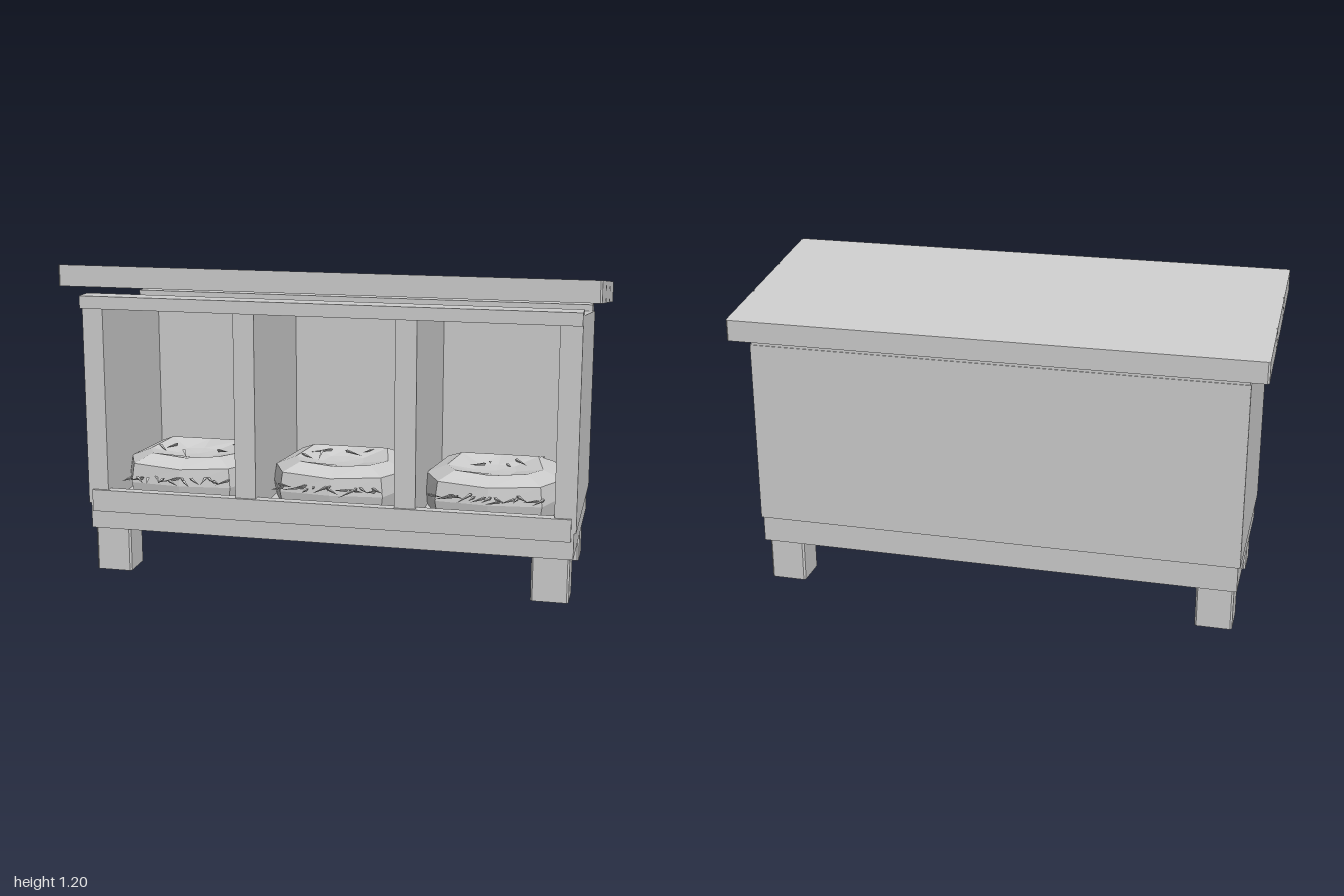
import * as THREE from 'three';

const timber = new THREE.MeshStandardMaterial({ color: 0xcccccc });
timber.name = 'pale grey';
timber.flatShading = true;
timber.side = THREE.DoubleSide;

function add(parent, name, geometry) {
  const mesh = new THREE.Mesh(geometry, timber);
  mesh.name = name;
  parent.add(mesh);
  return mesh;
}

// Box given by its limits on each axis
function box(parent, name, x0, x1, y0, y1, z0, z1) {
  const g = new THREE.BoxGeometry(x1 - x0, y1 - y0, z1 - z0);
  g.translate((x0 + x1) / 2, (y0 + y1) / 2, (z0 + z1) / 2);
  return add(parent, name, g);
}

// Upright block with chamfered vertical corners, standing on y = 0
function chamferedBlock(x0, x1, z0, z1, height, c) {
  const s = new THREE.Shape([
    [x0 + c, -z1], [x1 - c, -z1], [x1, -z1 + c], [x1, -z0 - c],
    [x1 - c, -z0], [x0 + c, -z0], [x0, -z0 - c], [x0, -z1 + c],
  ].map(([x, y]) => new THREE.Vector2(x, y)));
  const g = new THREE.ExtrudeGeometry(s, { depth: height, bevelEnabled: false });
  return g.rotateX(-Math.PI / 2);
}

// Wall panel in the z-y plane with a sloping top edge
function slopedWall(parent, name, x0, x1) {
  const s = new THREE.Shape([
    [-0.34, 0.27], [0.34, 0.27], [0.34, 1.066], [-0.34, 0.98],
  ].map(([z, y]) => new THREE.Vector2(-z, y)).reverse());
  const g = new THREE.ExtrudeGeometry(s, { depth: x1 - x0, bevelEnabled: false });
  g.rotateY(Math.PI / 2).translate(x0, 0, 0);
  add(parent, name, g);
}

function seeded(seed) {
  return () => {
    seed = (seed * 16807) % 2147483647;
    return seed / 2147483647;
  };
}

// Faceted straw bed: stacked eight-sided rings with a shallow hollow on top
function strawBed() {
  const plan = [[0, 0.25], [0.2, 0.23], [0.27, 0.06], [0.22, -0.18],
    [0, -0.24], [-0.22, -0.18], [-0.27, 0.06], [-0.2, 0.23]];
  const rings = [[0.96, 0.27], [1, 0.33], [0.96, 0.4], [0.68, 0.43], [0.3, 0.405]];
  const pos = [];
  const idx = [];
  rings.forEach(([k, y], r) => plan.forEach(([x, z], i) => {
    const wave = r > 1 && r < 4 ? (i % 2 ? 0.004 : -0.006) : 0;
    pos.push(x * k, y + wave, z * k);
  }));
  for (let r = 0; r < rings.length - 1; r++) {
    for (let i = 0; i < 8; i++) {
      const a = r * 8 + i, b = r * 8 + (i + 1) % 8;
      idx.push(a, b, b + 8, a, b + 8, a + 8);
    }
  }
  const centre = pos.length / 3;
  pos.push(0, 0.4, 0);
  const last = (rings.length - 1) * 8;
  for (let i = 0; i < 8; i++) idx.push(last + i, last + (i + 1) % 8, centre);
  const g = new THREE.BufferGeometry();
  g.setAttribute('position', new THREE.Float32BufferAttribute(pos, 3));
  g.setIndex(idx);
  const flat = g.toNonIndexed();
  flat.computeVertexNormals();
  return flat;
}

export function createModel() {
  const model = new THREE.Group();
  model.name = 'nestingBox';

  // Legs
  for (const sx of [-1, 1]) {
    for (const z of [0.262, -0.248]) {
      const x = sx * 0.845;
      add(model, 'leg', chamferedBlock(x - 0.07, x + 0.07, z - 0.067, z + 0.067, 0.18, 0.007));
    }
  }

  // Base, walls, dividers and rails
  box(model, 'base', -0.927, 0.927, 0.17, 0.27, -0.337, 0.338);
  for (const [x0, x1] of [[-0.935, -0.855], [0.855, 0.935]]) slopedWall(model, 'sideWall', x0, x1);
  for (const [x0, x1] of [[-0.345, -0.265], [0.265, 0.345]]) slopedWall(model, 'divider', x0, x1);
  box(model, 'backPanel', -0.933, 0.933, 0.27, 0.98, -0.342, -0.28);
  box(model, 'backRail', -0.93, 0.93, 0.95, 1.015, -0.339, -0.265);
  box(model, 'frontRail', -0.935, 0.935, 1.032, 1.08, 0.285, 0.365);
  box(model, 'frontLip', -0.917, 0.917, 0.24, 0.325, 0.31, 0.35);

  // Sloping roof of three planks
  const roof = new THREE.Group();
  roof.name = 'roof';
  model.add(roof);
  const seams = [-0.4, -0.132, 0.135, 0.4];
  for (let i = 0; i < 3; i++) {
    const g = chamferedBlock(-1, 1, seams[i], seams[i + 1], 0.08, 0.007);
    const p = g.attributes.position;
    for (let v = 0; v < p.count; v++) p.setY(v, p.getY(v) + 1.065 + 0.1375 * p.getZ(v));
    g.computeVertexNormals();
    add(roof, 'roofPlank', g);
  }

  // Straw beds with loose stalks
  const rand = seeded(71);
  const bed = strawBed();
  const stalkShape = new THREE.ConeGeometry(0.007, 1, 3).rotateX(Math.PI / 2);
  for (const x of [-0.6, 0, 0.6]) {
    const nest = new THREE.Group();
    nest.name = 'nest';
    nest.position.x = x;
    model.add(nest);
    add(nest, 'strawBed', bed);
    for (let i = 0; i < 20; i++) {
      const stalk = add(nest, 'strawStalk', stalkShape);
      const onTop = i > 14;
      const length = 0.06 + rand() * 0.05;
      stalk.scale.z = length;
      stalk.rotation.order = 'YXZ';
      stalk.rotation.y = (rand() - 0.5) * 1.8;
      stalk.rotation.x = (rand() - 0.6) * 0.3;
      if (onTop) stalk.position.set((rand() - 0.5) * 0.3, 0.425, (rand() - 0.5) * 0.25);
      else stalk.position.set(-0.19 + i * 0.027, 0.355 + rand() * 0.015, 0.26 + rand() * 0.06);
    }
  }
  return model;
}
